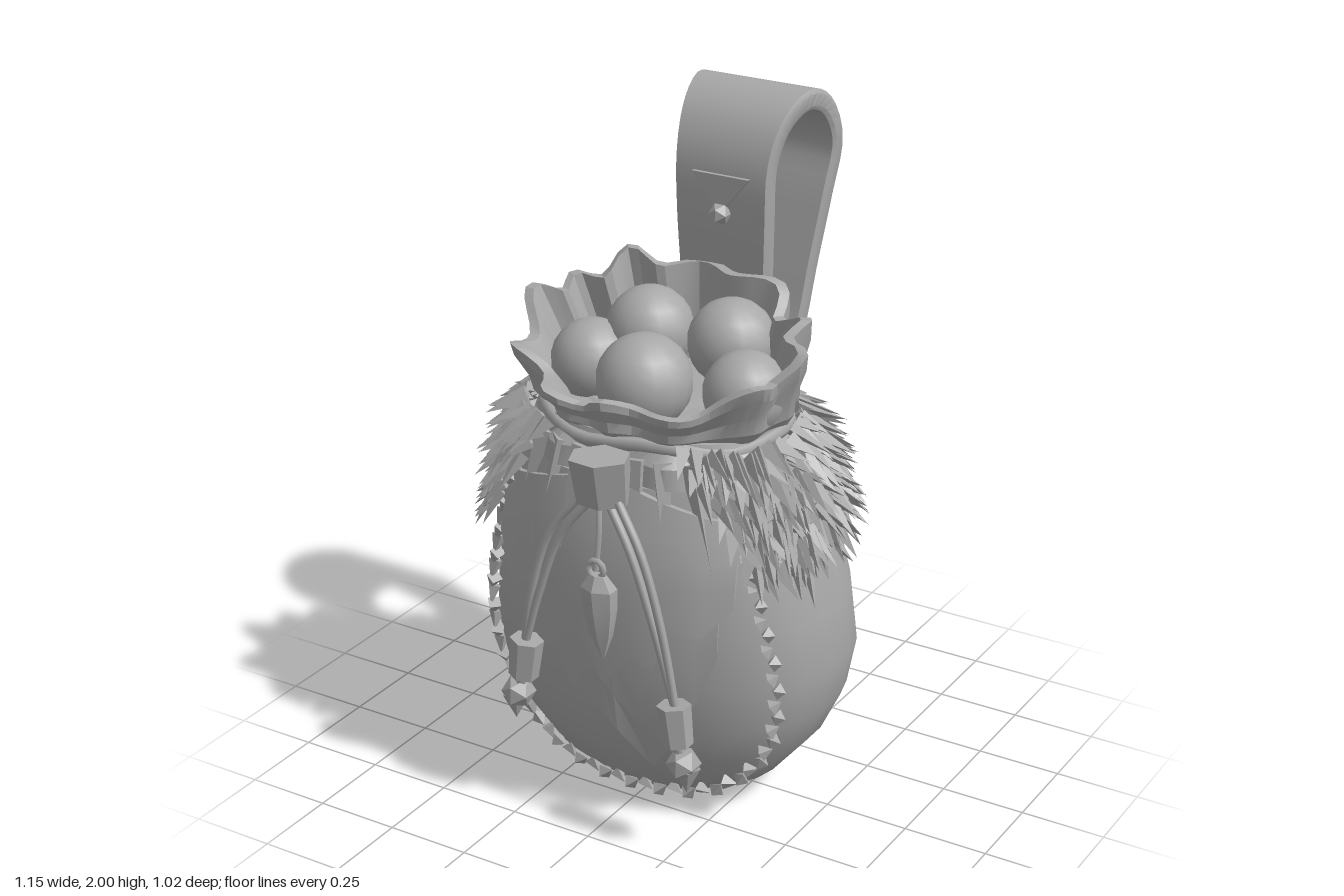
import * as THREE from 'three';
import { mergeGeometries, toCreasedNormals } from 'three/addons/utils/BufferGeometryUtils.js';

const V = (x, y, z) => new THREE.Vector3(x, y, z);
const lerp = THREE.MathUtils.lerp;
const TAU = Math.PI * 2;

// Pouch cross-sections: height, half width, back z, front z
const levels = [
  [0, 0.03, -0.03, 0.05], [0.008, 0.13, -0.1, 0.13], [0.035, 0.24, -0.18, 0.22], [0.1, 0.36, -0.27, 0.285],
  [0.22, 0.46, -0.355, 0.345], [0.34, 0.515, -0.405, 0.38], [0.48, 0.54, -0.43, 0.4], [0.65, 0.52, -0.42, 0.41],
  [0.85, 0.475, -0.385, 0.41], [1.0, 0.43, -0.33, 0.385], [1.1, 0.39, -0.27, 0.36], [1.18, 0.355, -0.205, 0.335],
];

function section(y) {
  let i = 0;
  while (i < levels.length - 2 && y > levels[i + 1][0]) i++;
  const [a, b] = [levels[i], levels[i + 1]];
  const t = THREE.MathUtils.clamp((y - a[0]) / (b[0] - a[0]), 0, 1);
  const [rx, back, front] = [1, 2, 3].map(k => lerp(a[k], b[k], t));
  return { rx, zc: (back + front) / 2, rz: (front - back) / 2 };
}

// Point on the pouch wall at an angle (0 is the front) and height; the front is flatter than the back
function wall(angle, y, off = 0) {
  const s = section(y), c = Math.cos(angle);
  return V((s.rx + off) * Math.sin(angle) - 0.008, y, s.zc + (s.rz + off) * (c > 0 ? c ** 0.75 : c));
}

// Point on the front of the pouch above a given x, y
function frontWall(x, y, off = 0) {
  const k = THREE.MathUtils.clamp(x / section(y).rx, -0.98, 0.98);
  return wall(Math.asin(k), y, off);
}

// Skin a list of equal closed rings, capping both ends
function loft(rings, crease = 0.5) {
  const n = rings[0].length, idx = [], last = (rings.length - 1) * n;
  for (let i = 0; i < rings.length - 1; i++) for (let j = 0; j < n; j++) {
    const a = i * n + j, b = i * n + (j + 1) % n;
    idx.push(a, b, b + n, a, b + n, a + n);
  }
  for (let j = 1; j < n - 1; j++) idx.push(0, j + 1, j, last, last + j, last + j + 1);
  const g = new THREE.BufferGeometry().setFromPoints(rings.flat());
  g.setIndex(idx);
  return toCreasedNormals(g, crease);
}

const flat = g => toCreasedNormals(g, 0.05);
const ringOf = (n, fn) => Array.from({ length: n }, (_, j) => fn(j / n * TAU));

// Pointed sliver from base to tip
function spike(base, tip, width, sides = 4) {
  const g = new THREE.ConeGeometry(width, base.distanceTo(tip), sides);
  g.applyQuaternion(new THREE.Quaternion().setFromUnitVectors(V(0, 1, 0), tip.clone().sub(base).normalize()));
  g.translate((base.x + tip.x) / 2, (base.y + tip.y) / 2, (base.z + tip.z) / 2);
  return flat(g);
}

export function createModel() {
  const group = new THREE.Group();
  const grey = new THREE.MeshStandardMaterial({ color: 0xa8a8a8, side: THREE.DoubleSide });
  grey.name = 'grey';
  let seed = 7;
  const rnd = () => (seed = (seed * 16807) % 2147483647) / 2147483647;
  const add = (name, geo, pos, rot) => {
    const m = new THREE.Mesh(geo, grey);
    m.name = name;
    if (pos) m.position.set(...pos);
    if (rot) m.rotation.set(...rot);
    group.add(m);
  };
  const tube = (name, pts, r, closed = false) =>
    add(name, new THREE.TubeGeometry(new THREE.CatmullRomCurve3(pts, closed), closed ? 48 : 16, r, 6, closed));

  // Pouch
  add('pouchBody', loft(levels.map(l => ringOf(30, a => wall(a, l[0]))), 0.5));

  // Ruffled mouth: pinched neck, outer wall up to the slanted rim, then lining back down
  const pleat = a => Math.cos(12 * a + 1.1 * Math.sin(3 * a + 0.5));
  const ruffleRing = (t, inset) => ringOf(84, a => {
    const wave = pleat(a);
    const off = wave * (0.012 + 0.016 * t) - inset;
    const rim = 1.395 - 0.125 * Math.cos(a) + 0.02 * Math.sin(7 * a + 1) + 0.014 * wave;
    return V((lerp(0.355, 0.425, t) + off) * Math.sin(a), lerp(1.17, rim, t),
      lerp(0.065, 0.11, t) + (lerp(0.27, 0.275, t) + off) * Math.cos(a));
  });
  add('ruffledMouth', loft([
    ringOf(84, a => wall(a, 1.06, 0.005 + 0.01 * pleat(a))), ringOf(84, a => wall(a, 1.12, 0.012 + 0.014 * pleat(a))),
    ruffleRing(0, 0.005), ruffleRing(0.2, -0.01), ruffleRing(0.45, 0), ruffleRing(0.8, -0.008), ruffleRing(1, 0),
    ruffleRing(1, 0.03), ruffleRing(0.6, 0.045), ruffleRing(0.15, 0.05),
  ], 0.35));

  // Round contents
  [[-0.1, 1.35, -0.01, 0.125], [0.145, 1.35, -0.04, 0.125], [0.01, 1.29, 0.2, 0.135],
    [-0.22, 1.27, 0.1, 0.12], [0.265, 1.27, 0.09, 0.12]].forEach(([x, y, z, r]) =>
    add('ball', new THREE.SphereGeometry(r, 16, 11), [x, y, z]));

  // Drawstring round the neck
  tube('neckCord', ringOf(24, a => V(0.36 * Math.sin(a), 1.16 + 0.012 * Math.sin(5 * a), 0.065 + 0.28 * Math.cos(a))), 0.02, true);

  // Fur collar, open at the front, longest at the sides and bristling outwards
  const tufts = [];
  for (let row = 0; row < 9; row++) {
    const t = row / 8;
    for (let k = 0; k < 84; k++) {
      const edge = 0.6 + 0.4 * t;
      const a = lerp(edge, TAU - edge, (k + rnd() * 0.9) / 84);
      const side = Math.abs(Math.sin(a)), behind = Math.max(0, -Math.cos(a));
      const bottom = lerp(0.87, 1.05, THREE.MathUtils.smoothstep(-Math.cos(a), -0.1, 0.9));
      const y = lerp(1.165, bottom, t) + (rnd() - 0.5) * 0.03;
      const puff = lerp(0.14, 0.105, t) * Math.min(1.1, 0.5 + 0.5 * side + 0.4 * behind) * (0.65 + 0.5 * rnd());
      const tip = wall(a + (rnd() - 0.5) * 0.16, y, puff);
      tip.y -= lerp(0.02, 0.06, t) + 0.06 * rnd();
      tufts.push(spike(wall(a, y, 0.01 + 0.025 * Math.max(side, behind)), tip, 0.02 + 0.01 * rnd(), 3));
    }
  }
  add('furCollar', mergeGeometries(tufts));

  // Belt loop: a flat band swept along a path of z, y, half width
  const path = [[-0.185, 1.12, 0.13], [-0.2, 1.4, 0.135], [-0.19, 1.65, 0.145], [-0.195, 1.82, 0.15], [-0.25, 1.925, 0.165],
    [-0.34, 1.971, 0.185], [-0.42, 1.94, 0.195], [-0.482, 1.83, 0.198], [-0.452, 1.67, 0.185], [-0.41, 1.47, 0.165],
    [-0.368, 1.28, 0.15], [-0.3, 1.13, 0.135]];
  const bandCurve = new THREE.CatmullRomCurve3(path.map(p => V(p[2], p[1], p[0])));
  const band = [];
  for (let i = 0; i <= 40; i++) {
    const p = bandCurve.getPoint(i / 40), d = bandCurve.getTangent(i / 40);
    const n = V(0, -d.z, d.y).normalize().multiplyScalar(0.029);
    band.push([[-0.96, -1], [0.96, -1], [1, -0.6], [1, 0.6], [0.96, 1], [-0.96, 1], [-1, 0.6], [-1, -0.6]]
      .map(([s, o]) => V(0.035 + s * p.x, p.y + o * n.y, p.z + o * n.z)));
  }
  add('beltLoop', loft(band, 0.6));

  // Triangular tab and stud on the belt loop
  const tab = new THREE.Shape([[-0.09, 0.055], [0, -0.055], [0.09, 0.055]].map(p => new THREE.Vector2(...p)));
  add('loopTab', new THREE.ExtrudeGeometry(tab, { depth: 0.018, bevelEnabled: false }), [0.04, 1.725, -0.166]);
  add('loopStud', flat(new THREE.IcosahedronGeometry(0.033, 0)), [0.04, 1.67, -0.15]);

  // Ragged leather layers on the front: x and lower edge height
  const layer = (name, top, off, edge) => add(name, loft(edge.map(([x, low]) => {
    const outer = [], inner = [];
    for (let i = 0; i <= 5; i++) {
      const y = lerp(top - Math.abs(x) * 0.3, low, i / 5);
      outer.push(frontWall(x, y, off + 0.014 * i / 5));
      inner.unshift(frontWall(x, y, -0.012));
    }
    return [...outer, ...inner];
  }), 0.35));
  layer('lowerLeather', 0.95, 0.008, [[-0.33, 0.6], [-0.27, 0.56], [-0.2, 0.5], [-0.14, 0.54], [-0.1, 0.42], [-0.05, 0.4],
    [0, 0.36], [0.04, 0.3], [0.12, 0.18], [0.18, 0.27], [0.22, 0.36], [0.27, 0.44], [0.33, 0.6]]);
  layer('upperLeather', 1.08, 0.016, [[-0.36, 0.8], [-0.3, 0.68], [-0.23, 0.71], [-0.19, 0.6], [-0.13, 0.52], [-0.05, 0.59],
    [0.02, 0.46], [0.1, 0.57], [0.16, 0.54], [0.22, 0.65], [0.29, 0.66], [0.36, 0.75]]);

  // Gathered folds running down from the neck
  add('gatheredFolds', mergeGeometries([-0.28, -0.19, -0.1, 0.1, 0.18, 0.27].map((x, i) =>
    spike(frontWall(x * 0.85, 1.13, 0), frontWall(x * 1.15, 0.72 + 0.06 * (i % 3), 0.022), 0.035))));

  // Braided seam framing the front panel
  const seam = new THREE.CatmullRomCurve3([[-0.34, 1.0], [-0.41, 0.75], [-0.45, 0.5], [-0.41, 0.25], [-0.25, 0.11], [0, 0.065],
    [0.25, 0.1], [0.4, 0.24], [0.455, 0.45], [0.41, 0.75], [0.34, 1.0]].map(([x, y]) => frontWall(x, y, 0.012)));
  const braid = [];
  for (let i = 0; i < 56; i++) {
    const p = seam.getPointAt(i / 56), q = seam.getPointAt((i + 1.6) / 57.6);
    const out = V(p.x, 0, p.z).normalize().multiplyScalar(0.012);
    const across = q.clone().sub(p).cross(out).normalize().multiplyScalar(i % 2 ? 0.012 : -0.012);
    braid.push(spike(p.clone().sub(across), q.add(across).add(out), 0.024));
  }
  add('braidedSeam', mergeGeometries(braid));

  // Toggle, hanging cords, beads and knots
  const bead = (w, h, d) => flat(new THREE.CylinderGeometry(0.5, 0.44, 1, 6).scale(w, h, d));
  add('toggle', bead(0.18, 0.14, 0.12), [0.01, 1.085, 0.42], [0.15, 0.3, 0]);
  [[-1, 0.48, -0.24], [1, 0.41, 0.255]].forEach(([s, y, x]) => {
    [0, 0.035].forEach(o => tube('hangingCord', [V(0.01 + s * (0.02 + o), 1.03, 0.425), V(s * (0.11 + o), 0.9, 0.44),
      V(s * (0.185 + o * 0.7), 0.7, 0.445), V(x, y + 0.04, 0.44)], 0.012));
    add('cordBead', bead(0.1, 0.12, 0.09), [x, y, 0.44], [0, 0, s * 0.12]);
    tube('cordEnd', [V(x, y, 0.44), V(x + s * 0.01, y - 0.06, 0.44), V(x + s * 0.03, y - 0.13, 0.44)], 0.02);
    add('cordKnot', flat(new THREE.IcosahedronGeometry(0.05, 0)), [x + s * 0.025, y - 0.115, 0.44]);
    add('cordTip', flat(new THREE.ConeGeometry(0.04, 0.08, 5)), [x + s * 0.035, y - 0.165, 0.44], [Math.PI, 0, 0]);
  });

  // Tooth pendant on a short string
  tube('pendantString', [V(0.01, 1.04, 0.435), V(0.02, 0.95, 0.45), V(0.015, 0.83, 0.46)], 0.009);
  add('pendantRing', new THREE.TorusGeometry(0.025, 0.009, 6, 10), [0.018, 0.835, 0.465]);
  add('pendant', loft([[0.82, 0.025], [0.78, 0.055], [0.72, 0.052], [0.64, 0.035], [0.57, 0.006]].map(([y, r]) =>
    ringOf(6, a => V(0.025 + r * Math.sin(-a) + (0.8 - y) * 0.05, y, 0.465 + r * 0.7 * Math.cos(a)))), 0.3));

  return group;
}
